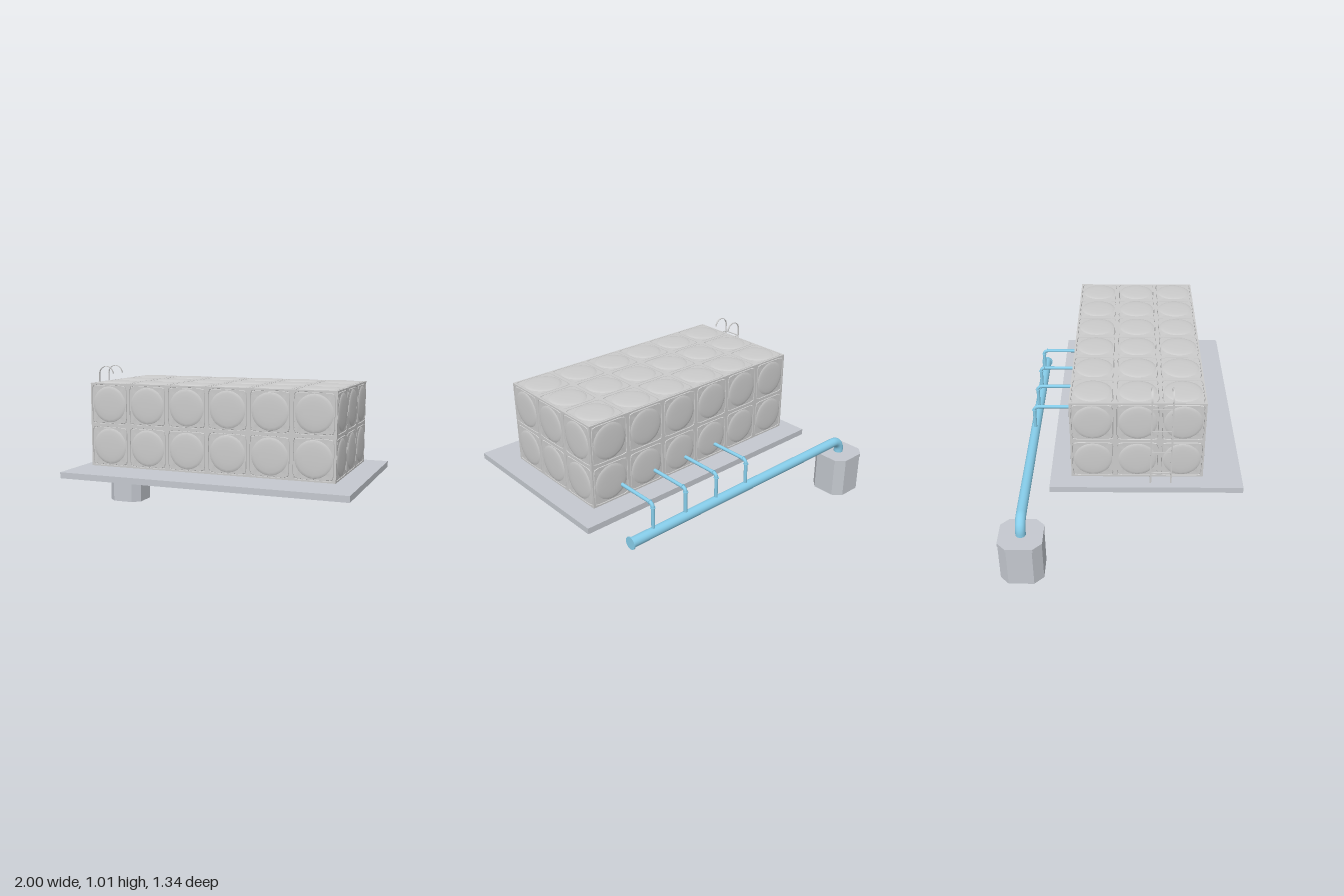
import * as THREE from 'three';
import { toCreasedNormals } from 'three/addons/utils/BufferGeometryUtils.js';

const grey = new THREE.MeshStandardMaterial({ color: 0xcccccc });
const concrete = new THREE.MeshStandardMaterial({ color: 0xc4c8cf });
const blue = new THREE.MeshStandardMaterial({ color: 0x87ceeb });
const CELL = 0.245;

function add(parent, name, geometry, material, x = 0, y = 0, z = 0) {
  const mesh = new THREE.Mesh(geometry, material);
  mesh.name = name;
  mesh.position.set(x, y, z);
  parent.add(mesh);
  return mesh;
}

// Square panel facing +z: flat rim, pressed groove, round dome.
// Each ring is [half width, height, superellipse power].
function panelGeometry() {
  const rings = [
    [CELL / 2, 0, Infinity], [0.1135, 0, 14], [0.1125, -0.005, 14],
    [0.1105, -0.005, 14], [0.109, 0, 12], [0.1045, 0, 2],
    [0.1, 0.0025, 2], [0.088, 0.0045, 2], [0.06, 0.0062, 2], [0.03, 0.0069, 2], [0, 0.007, 2],
  ];
  const n = 40, pos = [], index = [];
  rings.forEach(([a, h, p], i) => {
    for (let k = 0; k < n; k++) {
      const t = (k / n) * Math.PI * 2;
      const c = Math.abs(Math.cos(t)), s = Math.abs(Math.sin(t));
      const norm = p === Infinity ? Math.max(c, s) : (c ** p + s ** p) ** (1 / p);
      pos.push((a / norm) * Math.cos(t), (a / norm) * Math.sin(t), h);
      if (i === rings.length - 1) continue;
      const A = i * n + k, B = i * n + (k + 1) % n;
      index.push(A, B, A + n);
      if (i < rings.length - 2) index.push(B, B + n, A + n);
    }
  });
  const g = new THREE.BufferGeometry();
  g.setAttribute('position', new THREE.Float32BufferAttribute(pos, 3));
  g.setIndex(index);
  return toCreasedNormals(g, 0.45);
}

// Panelled tank, 6 x 2 x 3 cells
function createTank() {
  const tank = new THREE.Group();
  tank.name = 'waterTank';
  tank.position.set(0.14, 0.678, 0.0865);
  const panel = panelGeometry(), q = Math.PI / 2;
  // [columns, rows, distance from the centre in cells, rotation x, rotation y]
  const faces = {
    front: [6, 2, 1.5, 0, 0], back: [6, 2, 1.5, 0, 2 * q],
    left: [3, 2, 3, 0, q], right: [3, 2, 3, 0, -q],
    top: [6, 3, 1, -q, 0], bottom: [6, 3, 1, q, 0],
  };
  for (const [name, [cols, rows, dist, rx, ry]] of Object.entries(faces)) {
    const face = new THREE.Group();
    face.name = name + 'Panels';
    face.rotation.set(rx, ry, 0);
    for (let i = 0; i < cols; i++)
      for (let j = 0; j < rows; j++)
        add(face, 'tankPanel', panel, grey,
          (i - (cols - 1) / 2) * CELL, (j - (rows - 1) / 2) * CELL, dist * CELL);
    tank.add(face);
  }
  return tank;
}

// Square prism with cut corners, standing on its base
function cutCornerPrism(half, cut, height) {
  const a = half, b = half - cut;
  const shape = new THREE.Shape([[a, -b], [a, b], [b, a], [-b, a], [-a, b], [-a, -b], [-b, -a], [b, -a]]
    .map(([x, y]) => new THREE.Vector2(x, y)));
  return new THREE.ExtrudeGeometry(shape, { depth: height, bevelEnabled: false }).rotateX(-Math.PI / 2);
}

// Pipe through three points with one rounded elbow
function elbowPipe(a, corner, b, bend, radius, sides) {
  const [p, c, e] = [a, corner, b].map(v => new THREE.Vector3(...v));
  const s = c.clone().add(p.clone().sub(c).setLength(bend));
  const t = c.clone().add(e.clone().sub(c).setLength(bend));
  const points = [p];
  const k = 0.5523;
  const curve = new THREE.CubicBezierCurve3(s, s.clone().lerp(c, k), t.clone().lerp(c, k), t);
  points.push(...curve.getPoints(8), e);
  const path = new THREE.CurvePath();
  for (let i = 1; i < points.length; i++) path.add(new THREE.LineCurve3(points[i - 1], points[i]));
  return new THREE.TubeGeometry(path, 80, radius, sides);
}

// Collecting pipe with four branches from the tank
function createPipework() {
  const pipes = new THREE.Group();
  pipes.name = 'pipework';
  const z = -0.545;
  add(pipes, 'mainPipe',
    elbowPipe([-0.88, 0.25, z - 0.003], [-0.88, 0.338, z - 0.003], [0.84, 0.332, z], 0.065, 0.029, 20), blue);
  add(pipes, 'endFlange', new THREE.CylinderGeometry(0.037, 0.037, 0.006, 24).rotateZ(Math.PI / 2),
    blue, 0.838, 0.333, z);
  for (const x of [-0.01, 0.225, 0.455, 0.685]) {
    add(pipes, 'branchPipe', elbowPipe([x, 0.511, -0.275], [x, 0.511, z], [x, 0.34, z], 0.025, 0.0105, 12), blue);
    add(pipes, 'lowerCollar', new THREE.CylinderGeometry(0.015, 0.015, 0.004, 16), blue, x, 0.487, z);
    add(pipes, 'upperCollar', new THREE.CylinderGeometry(0.014, 0.014, 0.004, 16).rotateX(Math.PI / 2),
      blue, x, 0.511, -0.522);
  }
  return pipes;
}

// Flat-bar ladder with rails hooked over the tank top
function createLadder() {
  const ladder = new THREE.Group();
  ladder.name = 'ladder';
  const r = 0.049, w = 0.004, end = 0.1;
  const rail = new THREE.Shape();
  rail.moveTo(-r, 0.423);
  rail.lineTo(-r, 0.963);
  rail.absarc(0, 0.963, r, Math.PI, end, true);
  rail.absarc(0, 0.963, r - w, end, Math.PI, false);
  rail.lineTo(w - r, 0.423);
  const railGeometry = new THREE.ExtrudeGeometry(rail, { depth: 0.009, bevelEnabled: false, curveSegments: 16 });
  for (const z of [0.16, 0.273]) {
    add(ladder, 'ladderRail', railGeometry, grey, -0.592, 0, z - 0.0045);
    for (const y of [0.674, 0.914])
      add(ladder, 'wallBracket', new THREE.BoxGeometry(0.05, 0.004, 0.006), grey, -0.616, y, z);
  }
  for (let i = 0; i < 4; i++)
    add(ladder, 'ladderRung', new THREE.BoxGeometry(0.005, 0.005, 0.113), grey, -0.639, 0.494 + i * 0.14, 0.2165);
  return ladder;
}

export function createModel() {
  const model = new THREE.Group();
  model.name = 'waterTankStation';
  add(model, 'baseSlab', new THREE.BoxGeometry(1.68, 0.035, 1.074), concrete, 0.16, 0.4055, 0.137);
  for (const x of [-0.01, 0.225, 0.455, 0.685])
    add(model, 'supportPad', new THREE.BoxGeometry(0.11, 0.012, 0.21), grey, x, 0.427, 0.0885);
  model.add(createTank(), createPipework(), createLadder());

  // Cut-corner pit with a slightly wider lid
  add(model, 'pitBody', cutCornerPrism(0.1205, 0.05, 0.235), concrete, -0.878, 0, -0.5475);
  add(model, 'pitLid', cutCornerPrism(0.1225, 0.048, 0.021), concrete, -0.878, 0.235, -0.5475);
  return model;
}
